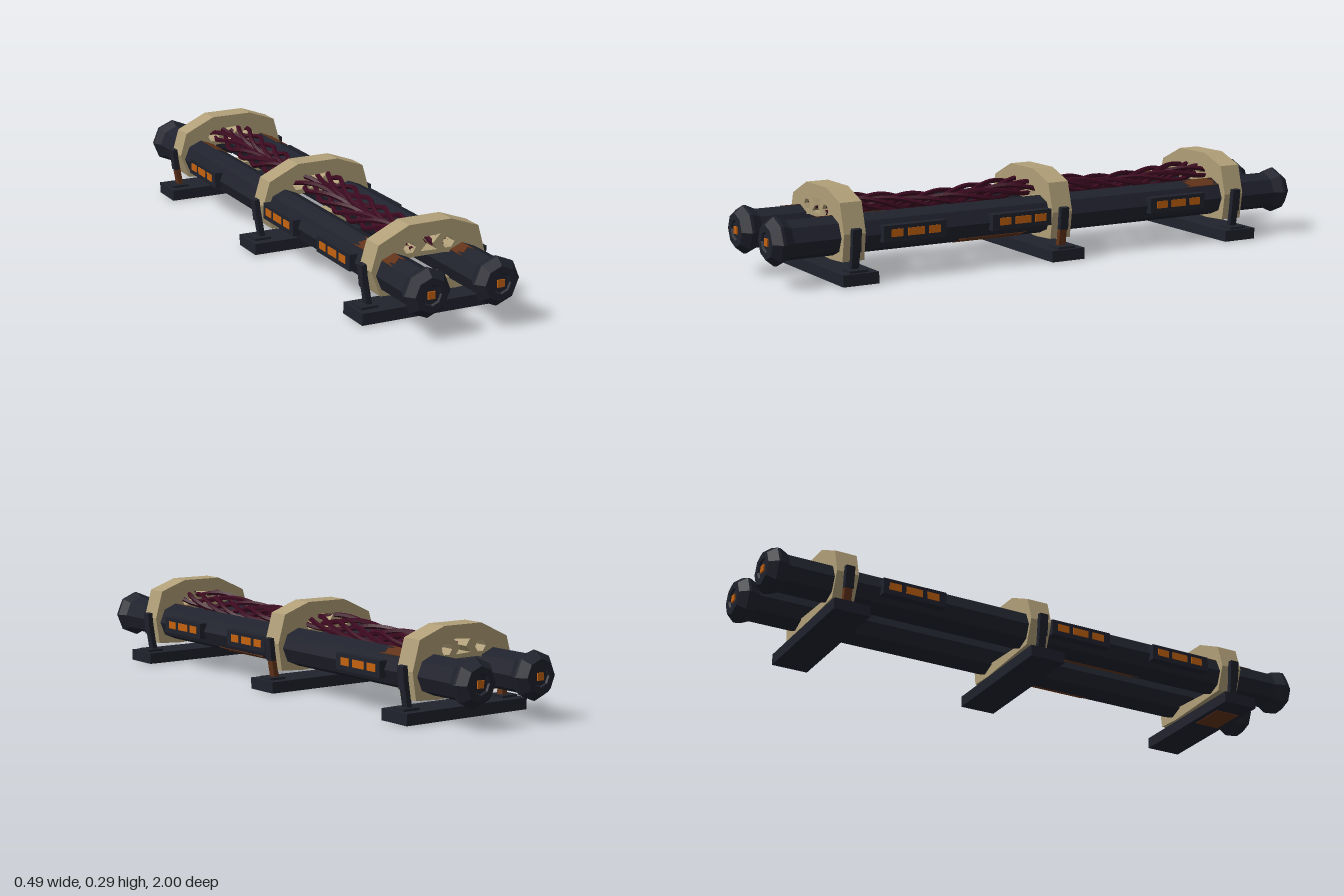
import * as THREE from 'three';

const mat = (name, color) => {
  const m = new THREE.MeshStandardMaterial({ color });
  m.name = name;
  return m;
};

export function createModel() {
  const model = new THREE.Group();
  model.name = 'twinConduit';
  const navy = mat('navy steel', 0x20222d);
  const tan = mat('tan clamp', 0xb09f78);
  const maroon = mat('maroon cable', 0x3d0a20);
  const orange = mat('orange light', 0xc4620f);
  const rust = mat('rust brown', 0x613319);

  const PIPE_X = 0.12, PIPE_Y = 0.145, PIPE_R = 0.064;
  const CLAMP_Z = [0.731, -0.034, -0.739];

  // Faceted mesh helpers
  const add = (parent, name, geo, material) => {
    const g = geo.index ? geo.toNonIndexed() : geo;
    g.computeVertexNormals();
    const mesh = new THREE.Mesh(g, material);
    mesh.name = name;
    parent.add(mesh);
    return mesh;
  };
  const box = (parent, name, w, h, d, x, y, z, material) => {
    const mesh = add(parent, name, new THREE.BoxGeometry(w, h, d), material);
    mesh.position.set(x, y, z);
    return mesh;
  };

  // Octagonal pipes with flared end caps, turned around the z axis
  const profile = [
    [0, -0.994], [0.03, -0.994], [0.034, -1], [0.056, -1], [0.079, -0.972], [0.079, -0.962],
    [PIPE_R, -0.93], [PIPE_R, 0.93],
    [0.079, 0.962], [0.079, 0.972], [0.056, 1], [0.034, 1], [0.03, 0.994], [0, 0.994],
  ].map(([r, y]) => new THREE.Vector2(r, y));
  for (const side of [-1, 1]) {
    const pipe = new THREE.Group();
    pipe.name = side > 0 ? 'leftPipe' : 'rightPipe';
    pipe.position.set(side * PIPE_X, PIPE_Y, 0);
    model.add(pipe);
    add(pipe, 'pipeBody', new THREE.LatheGeometry(profile, 8).rotateX(Math.PI / 2), navy);
    for (const end of [-1, 1])
      box(pipe, 'endLight', 0.024, 0.024, 0.006, 0, 0, end * 0.996, orange);

    // Side light panels, three lamps each
    for (const z of [0.517, 0.12, -0.502]) {
      box(pipe, 'lightPanel', 0.036, 0.054, 0.225, side * 0.064, 0.002, z, navy);
      for (const [dz, len] of [[0.065, 0.043], [-0.003, 0.059], [-0.07, 0.043]])
        box(pipe, 'panelLamp', 0.006, 0.025, len, side * 0.081, 0.004, z + dz, orange);
    }

    // Ragged rust plates lying on the pipe facets: [facet angle from top, z from, z to]
    const patches = side < 0
      ? [[-22.5, 0.58, 0.84], [22.5, -0.71, -0.56], [157.5, 0.1, 0.4]]
      : [[-22.5, 0.58, 0.84], [22.5, -0.71, -0.56], [157.5, 0.08, 0.34]];
    for (const [angle, z0, z1] of patches) {
      const shape = new THREE.Shape();
      const teeth = 6, w = 0.023;
      for (let i = 0; i <= teeth; i++) {
        const x = -w + (2 * w * i) / teeth;
        const y = z0 + (i % 2) * 0.02 + (i % 3) * 0.01;
        if (i === 0) shape.moveTo(x, y); else shape.lineTo(x, y);
      }
      for (let i = teeth; i >= 0; i--)
        shape.lineTo(-w + (2 * w * i) / teeth, z1 - (i % 2) * 0.02 - (i % 3) * 0.01);
      const geo = new THREE.ExtrudeGeometry(shape, { depth: 0.003, bevelEnabled: false });
      // lay the plate flat, then turn it round to its facet
      geo.rotateX(-Math.PI / 2).scale(1, 1, 1).rotateY(Math.PI);
      geo.translate(0, PIPE_R * Math.cos(Math.PI / 8) - 0.001, 0);
      geo.rotateZ(-THREE.MathUtils.degToRad(angle));
      add(pipe, 'rustPatch', geo, rust);
    }
  }

  // Clamp plate outline and its openings
  const pts = (list) => list.map(([x, y]) => new THREE.Vector2(x, y));
  const clampShape = new THREE.Shape(pts([
    [-0.168, 0.077], [0.1, 0.065], [0.188, 0.07], [0.202, 0.16], [0.175, 0.257],
    [0.078, 0.292], [-0.07, 0.291], [-0.176, 0.241], [-0.2, 0.16],
  ]));
  const holes = [
    [[-0.1, 0.096], [0.1, 0.107], [0.1, 0.18], [0.05, 0.187], [-0.05, 0.187], [-0.1, 0.18]],
    [[-0.03, 0.202], [0.03, 0.2], [0.014, 0.222], [0.04, 0.249], [-0.026, 0.245], [-0.01, 0.222]],
  ];
  for (const s of [-1, 1])
    holes.push([[-0.022, 0], [-0.011, -0.017], [0.011, -0.017], [0.022, 0], [0.011, 0.017], [-0.011, 0.017]]
      .map(([x, y]) => [s * 0.068 + x, 0.218 + y]));
  for (const h of holes) clampShape.holes.push(new THREE.Path(pts(h)));

  CLAMP_Z.forEach((z, i) => {
    const stand = new THREE.Group();
    stand.name = ['frontStand', 'middleStand', 'backStand'][i];
    stand.position.z = z;
    model.add(stand);
    const clamp = add(stand, 'clamp',
      new THREE.ExtrudeGeometry(clampShape, { depth: 0.076, bevelEnabled: false }), tan);
    clamp.position.z = -0.038;
    box(stand, 'basePlate', 0.486, 0.038, 0.125, 0, 0.021, 0, navy);
    if (i === 0) box(stand, 'baseRust', 0.13, 0.003, 0.09, -0.1, 0.0015, 0, rust);

    // Leaning struts with feet and clips
    for (const side of [-1, 1]) {
      const rusty = (side < 0 && i === 2) || (side > 0 && i === 1);
      box(stand, 'strutFoot', 0.06, 0.009, 0.064, side * 0.2, 0.043, 0, navy);
      const strut = box(stand, 'strut', 0.018, 0.1, 0.026, side * 0.199, 0.088, 0, rusty ? rust : navy);
      strut.rotation.z = -side * 0.17;
      const clip = box(stand, 'strutClip', 0.018, 0.075, 0.03, side * 0.209, 0.14, 0, navy);
      clip.rotation.z = -side * 0.1;
    }
  });

  // Two braided cable bundles, sagging between the clamps
  for (const side of [-1, 1]) {
    const bundle = new THREE.Group();
    bundle.name = side > 0 ? 'leftCableBundle' : 'rightCableBundle';
    model.add(bundle);
    for (let k = 0; k < 4; k++) {
      const path = [];
      for (let i = 0; i <= 64; i++) {
        const z = 0.765 - (1.5 * i) / 64;
        const a = side * ((z * Math.PI * 2) / 0.42 + (k * Math.PI) / 2);
        const sag = 0.01 * Math.cos(((z - 0.73) * Math.PI * 2) / 0.74);
        path.push(new THREE.Vector3(side * 0.044 + 0.026 * Math.cos(a), 0.215 + sag + 0.019 * Math.sin(a), z));
      }
      add(bundle, 'cable',
        new THREE.TubeGeometry(new THREE.CatmullRomCurve3(path), 96, 0.0085, 5), maroon);
    }
  }
  return model;
}
